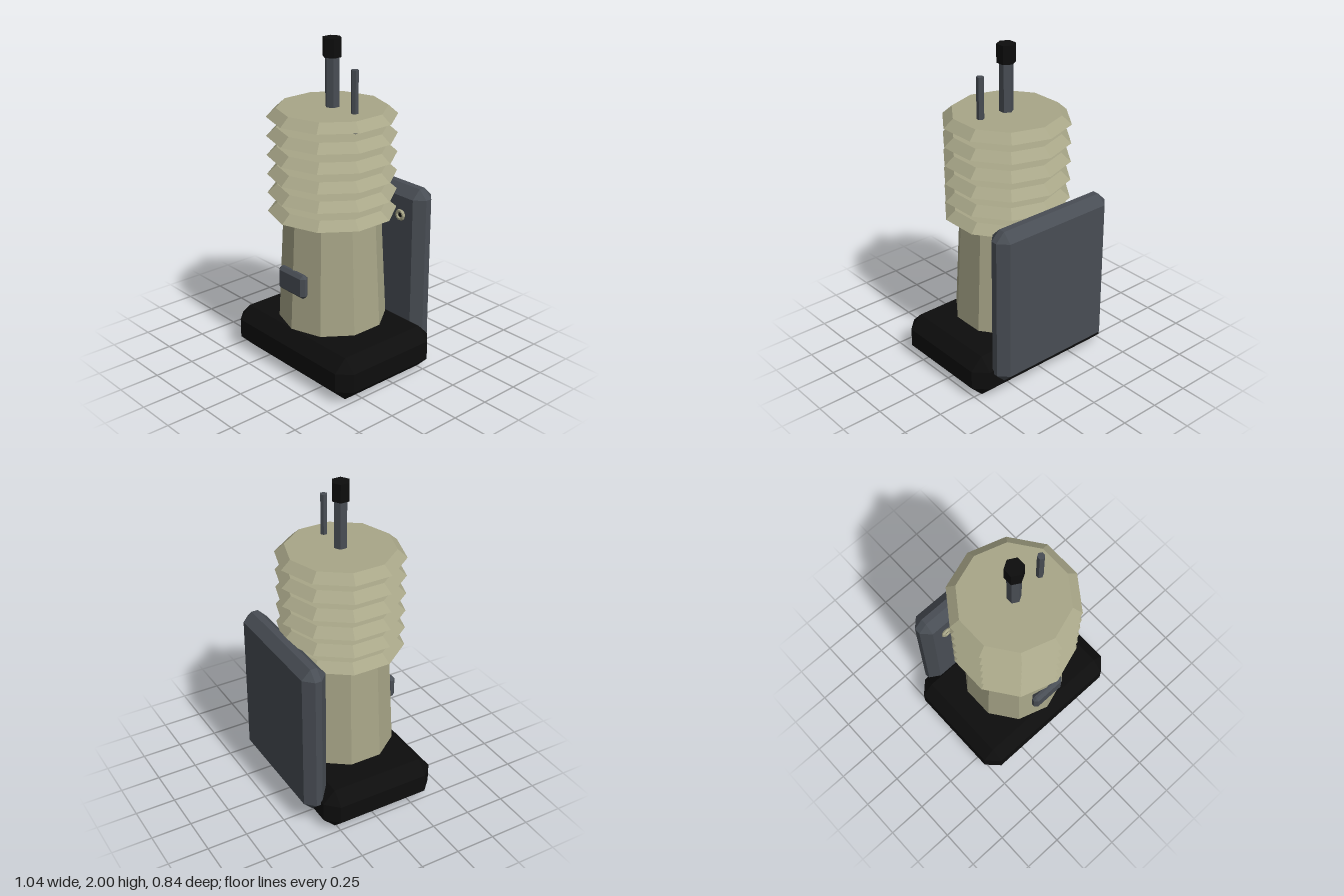
import * as THREE from 'three';
import { ConvexGeometry } from 'three/addons/geometries/ConvexGeometry.js';

const flat = (name, color) => {
  const m = new THREE.MeshStandardMaterial({ color, flatShading: true });
  m.name = name;
  return m;
};

// Box with every edge cut at 45 degrees
function chamferBox(w, h, d, c) {
  const [x, y, z] = [w / 2, h / 2, d / 2];
  const pts = [];
  for (const i of [-1, 1]) for (const j of [-1, 1]) for (const k of [-1, 1]) {
    pts.push(
      new THREE.Vector3(i * x, j * (y - c), k * (z - c)),
      new THREE.Vector3(i * (x - c), j * y, k * (z - c)),
      new THREE.Vector3(i * (x - c), j * (y - c), k * z));
  }
  return new ConvexGeometry(pts);
}

export function createModel() {
  const group = new THREE.Group();
  const beige = flat('beige', 0xa8a688);
  const slate = flat('slate', 0x484d54);
  const black = flat('black', 0x0d0d0d);
  const axisZ = 0.037;

  const add = (name, geometry, material, x, y, z) => {
    const mesh = new THREE.Mesh(geometry, material);
    mesh.name = name;
    mesh.position.set(x, y, z);
    group.add(mesh);
    return mesh;
  };
  // Upright prism between two heights
  const prism = (name, rTop, rBottom, y0, y1, sides, material, x = 0) =>
    add(name, new THREE.CylinderGeometry(rTop, rBottom, y1 - y0, sides), material, x, (y0 + y1) / 2, axisZ);

  // Foot and tapered body
  add('base', chamferBox(1.044, 0.27, 0.744, 0.076), black, 0, 0.135, axisZ);
  prism('body', 0.29, 0.325, 0.29, 0.955, 10, beige);

  // Stacked louvre plates
  for (let i = 0; i < 6; i++) {
    const y = 0.975 + i * 0.115;
    prism('louvre' + (i + 1), 0.323, 0.38, y, y + 0.051, 10, beige);
  }

  // Mast with its cap, and the thin rod beside it
  prism('mast', 0.042, 0.042, 0.98, 1.9, 6, slate);
  prism('mastCap', 0.056, 0.056, 1.89, 2, 6, black);
  prism('thinRod', 0.022, 0.022, 0.95, 1.85, 6, slate, 0.19);

  // Rear panel and front plate
  add('rearPanel', chamferBox(0.834, 0.99, 0.152, 0.056), slate, 0, 0.612, -0.344);
  add('frontPlate', chamferBox(0.23, 0.148, 0.056, 0.02), slate, 0, 0.593, 0.342);

  // Mounting rings on the rear panel
  for (const side of [-1, 1]) {
    add('mountRing', new THREE.TorusGeometry(0.026, 0.011, 6, 10), beige, side * 0.27, 0.937, -0.258);
    const pin = add('mountPin', new THREE.CylinderGeometry(0.016, 0.016, 0.012, 8), black, side * 0.27, 0.937, -0.263);
    pin.rotation.x = Math.PI / 2;
  }

  return group;
}
